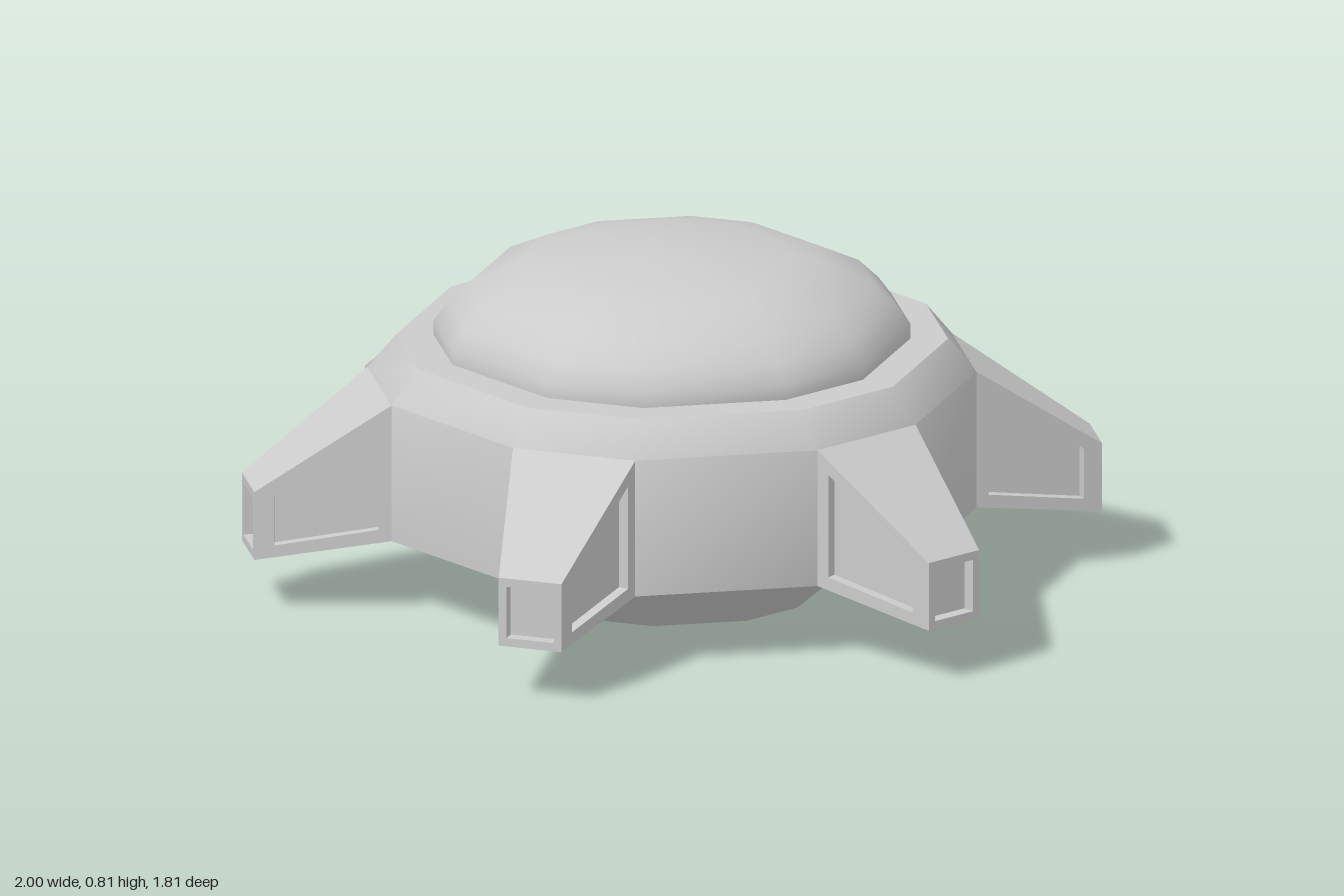
import * as THREE from 'three';
import { toCreasedNormals } from 'three/addons/utils/BufferGeometryUtils.js';

const grey = new THREE.MeshStandardMaterial({ color: 0xcccccc });

// Twelve corner angles: narrow facets carry the legs, wide facets lie between them
const corners = [];
for (let i = 0; i < 6; i++) corners.push(i * 60 - 12.3, i * 60 + 12.3);

function geometryFrom(points) {
  const g = new THREE.BufferGeometry().setFromPoints(points);
  g.computeVertexNormals();
  return g;
}

function quad(out, a, b, c, d) {
  out.push(a, b, c, a, c, d);
}

// Sweeps a [radius, y] profile around the twelve corners
function loft(name, profile, crease) {
  const at = ([r, y], j) => {
    const a = THREE.MathUtils.degToRad(corners[j % 12]);
    return new THREE.Vector3(r * Math.cos(a), y, -r * Math.sin(a));
  };
  const pts = [];
  for (let i = 0; i < profile.length - 1; i++) {
    const [p, q] = [profile[i], profile[i + 1]];
    for (let j = 0; j < 12; j++) {
      if (p[0] > 0) pts.push(at(p, j), at(p, j + 1), at(q, j + 1));
      else pts.push(at(p, j), at(q, j + 1), at(q, j));
      if (p[0] > 0 && q[0] > 0) pts.push(at(p, j), at(q, j + 1), at(q, j));
    }
  }
  const mesh = new THREE.Mesh(toCreasedNormals(geometryFrom(pts), crease), grey);
  mesh.name = name;
  return mesh;
}

// Face with a sunken panel: frame, recess walls and floor
function panel(out, outer, inner, depth) {
  const u = outer[1].clone().sub(outer[0]);
  const v = outer[3].clone().sub(outer[0]);
  const n = u.cross(v).normalize().multiplyScalar(-depth);
  const floor = inner.map(p => p.clone().add(n));
  for (let i = 0; i < 4; i++) {
    const k = (i + 1) % 4;
    quad(out, outer[i], outer[k], inner[k], inner[i]);
    quad(out, inner[i], inner[k], floor[k], floor[i]);
  }
  quad(out, ...floor);
}

// Tapered leg pointing along +x
function legGeometry() {
  const out = [];
  const V = (x, y, z) => new THREE.Vector3(x, y, z);
  const halfWidth = x => 0.15 - (x - 0.69) / 0.31 * 0.073;
  const onSide = list => list.map(([x, y]) => V(x, y, halfWidth(x)));
  const mirror = list => list.map(p => V(p.x, p.y, -p.z)).reverse();

  // Side faces
  const side = onSide([[0.69, 0.18], [1, 0.13], [1, 0.295], [0.69, 0.51]]);
  const recess = onSide([[0.72, 0.207], [0.955, 0.166], [0.955, 0.287], [0.72, 0.456]]);
  panel(out, side, recess, 0.025);
  panel(out, mirror(side), mirror(recess), 0.025);

  // End face
  const end = (y0, y1, w) => [V(1, y0, w), V(1, y0, -w), V(1, y1, -w), V(1, y1, w)];
  panel(out, end(0.13, 0.295, 0.077), end(0.15, 0.275, 0.058), 0.03);

  // Top and underside
  const [rb, tb, tt, rt] = side;
  const flip = p => V(p.x, p.y, -p.z);
  quad(out, rt, tt, flip(tt), flip(rt));
  quad(out, flip(rb), flip(tb), tb, rb);
  return geometryFrom(out);
}

export function createModel() {
  const model = new THREE.Group();
  model.name = 'sixLeggedPod';

  // Tapered base with a round recess underneath
  model.add(loft('base', [
    [0, 0.08], [0.30, 0.08], [0.30, 0], [0.363, 0], [0.575, 0.18], [0.706, 0.18],
  ], 0.6));

  // Outer wall, chamfer and flat rim
  model.add(loft('body', [[0.706, 0.18], [0.706, 0.51], [0.64, 0.59], [0.53, 0.59]], 0.8));

  // Rounded dome
  model.add(loft('dome', [
    [0.553, 0.59], [0.553, 0.625], [0.52, 0.67], [0.47, 0.718],
    [0.36, 0.77], [0.27, 0.79], [0.1, 0.81], [0, 0.812],
  ], 1.1));

  // Six legs
  const geometry = legGeometry();
  for (let i = 0; i < 6; i++) {
    const leg = new THREE.Mesh(geometry, grey);
    leg.name = 'leg' + (i + 1);
    leg.rotation.y = i * Math.PI / 3;
    model.add(leg);
  }
  return model;
}
